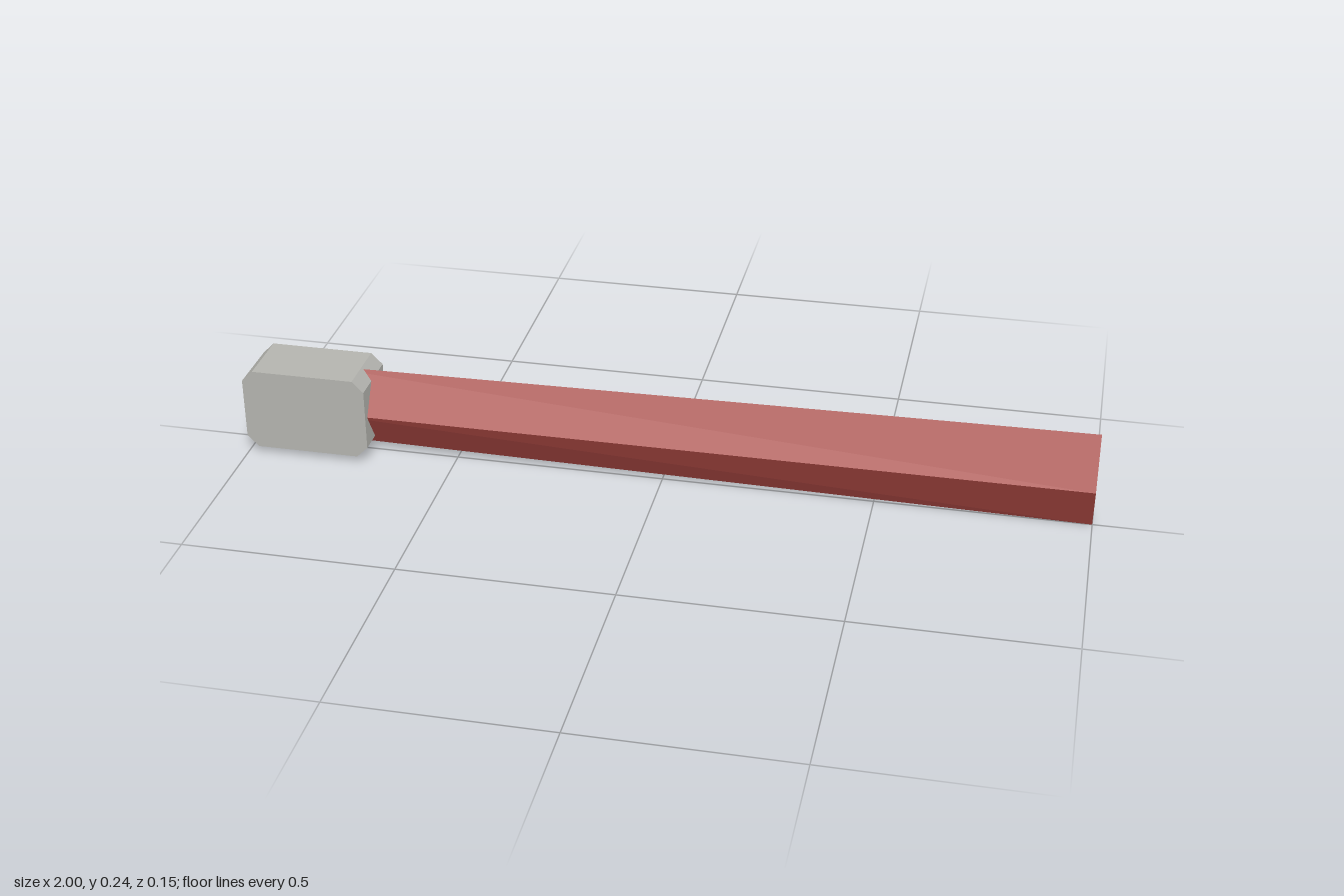
import * as THREE from 'three';

const MID_Y = 0.118;

// Four-sided bar along x with a diamond section that grows taller towards its tip
function bladeGeometry(x0, x1, h0, h1, halfDepth) {
  const geo = new THREE.CylinderGeometry(1, 1, 1, 4).rotateZ(-Math.PI / 2).toNonIndexed();
  const pos = geo.attributes.position;
  for (let i = 0; i < pos.count; i++) {
    const t = pos.getX(i) + 0.5;
    pos.setXYZ(
      i,
      THREE.MathUtils.lerp(x0, x1, t),
      MID_Y + pos.getY(i) * THREE.MathUtils.lerp(h0, h1, t),
      pos.getZ(i) * halfDepth
    );
  }
  geo.computeVertexNormals();
  return geo;
}

// Block with its four edges along z cut at 45 degrees
function gripGeometry(x0, x1, halfHeight, halfDepth, cut) {
  const y0 = MID_Y - halfHeight, y1 = MID_Y + halfHeight;
  const shape = new THREE.Shape([
    [x0 + cut, y0], [x1 - cut, y0], [x1, y0 + cut], [x1, y1 - cut],
    [x1 - cut, y1], [x0 + cut, y1], [x0, y1 - cut], [x0, y0 + cut],
  ].map(([x, y]) => new THREE.Vector2(x, y)));
  return new THREE.ExtrudeGeometry(shape, { depth: halfDepth * 2, bevelEnabled: false })
    .translate(0, 0, -halfDepth);
}

export function createModel() {
  const red = new THREE.MeshStandardMaterial({ name: 'red', color: 0xa84641 });
  const grey = new THREE.MeshStandardMaterial({ name: 'warm grey', color: 0xb4b4af });
  const group = new THREE.Group();
  group.name = 'bar with grip';

  const grip = new THREE.Mesh(gripGeometry(-1, -0.7, 0.101, 0.074, 0.027), grey);
  grip.name = 'grip';

  // The blade starts inside the grip
  const blade = new THREE.Mesh(bladeGeometry(-0.85, 1, 0.095, 0.118, 0.059), red);
  blade.name = 'blade';

  group.add(grip, blade);
  return group;
}
